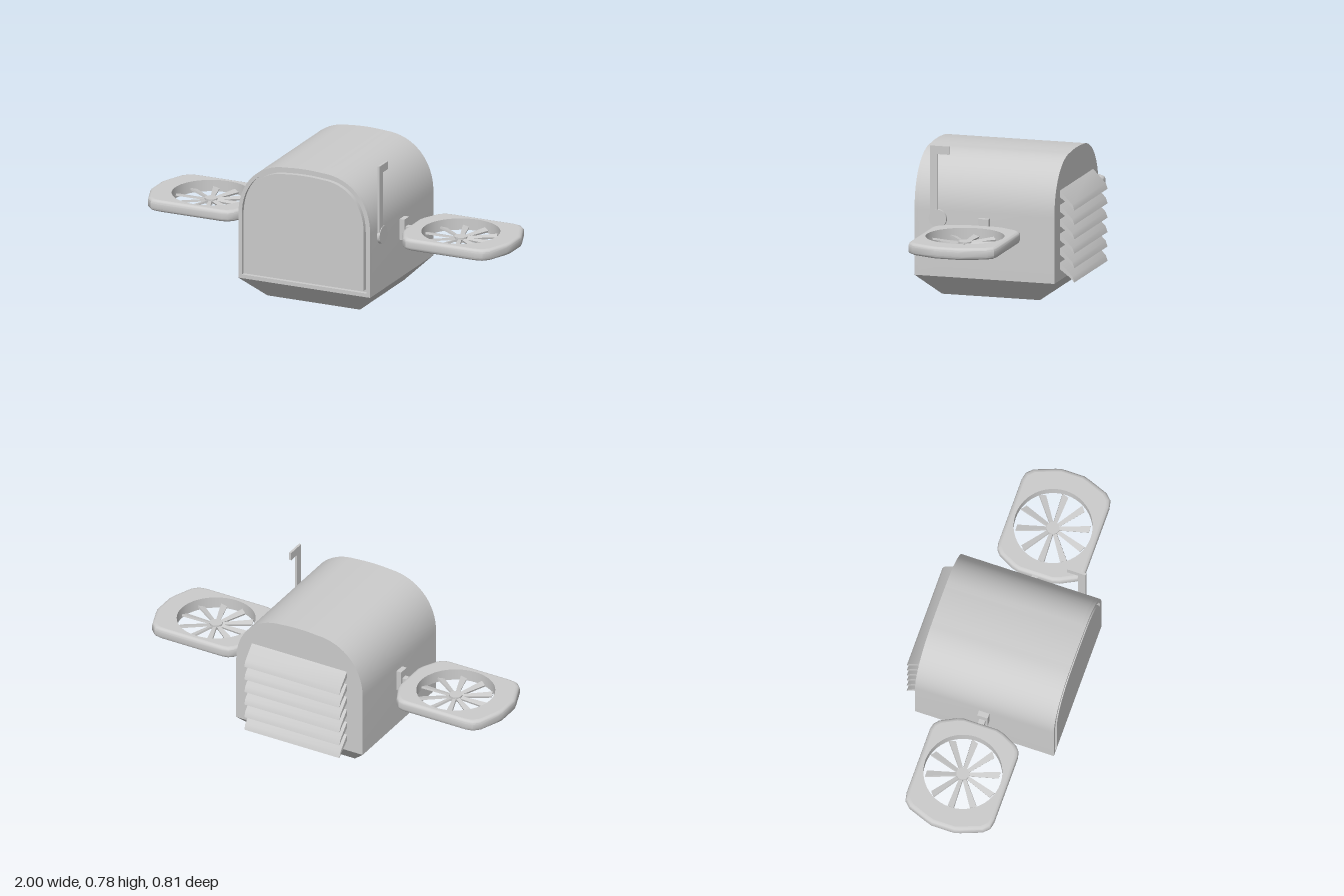
import * as THREE from 'three';
import { toCreasedNormals } from 'three/addons/utils/BufferGeometryUtils.js';

const material = new THREE.MeshStandardMaterial({ color: 0xcccccc });

function add(parent, name, geometry, x = 0, y = 0, z = 0) {
  const mesh = new THREE.Mesh(geometry, material);
  mesh.name = name;
  mesh.position.set(x, y, z);
  parent.add(mesh);
  return mesh;
}

function extrude(shape, depth) {
  const g = new THREE.ExtrudeGeometry(shape, { depth, bevelEnabled: false, curveSegments: 16 });
  return toCreasedNormals(g, 0.6);
}

function polygon(points) {
  return new THREE.Shape(points.map(([x, y]) => new THREE.Vector2(x, y)));
}

// Arched box outline, inset by d on every side
function arch(d, Type = THREE.Shape) {
  const w = 0.366 - d, b = 0.112 + d, t = 0.738 - d;
  const s = new Type();
  s.moveTo(-w, b);
  s.lineTo(w, b);
  s.lineTo(w, 0.45);
  s.bezierCurveTo(w, 0.61, 0.26 - d, t - 0.006, 0.1, t - 0.005);
  s.quadraticCurveTo(0.05, t, 0, t);
  s.quadraticCurveTo(-0.05, t, -0.1, t - 0.005);
  s.bezierCurveTo(-0.26 + d, t - 0.006, -w, 0.61, -w, 0.45);
  s.closePath();
  return s;
}

// Tapered base from two rectangular sections
function taperedBase() {
  const g = new THREE.BoxGeometry(0.732, 0.112, 0.735);
  const p = g.attributes.position;
  for (let i = 0; i < p.count; i++) {
    if (p.getY(i) < 0) {
      p.setX(i, Math.sign(p.getX(i)) * 0.257);
      p.setZ(i, Math.sign(p.getZ(i)) * 0.257);
    }
  }
  g.computeVertexNormals();
  return g;
}

// Rotor guard: outer wall lofted with rounded edges, capped by plates with a round hole
const HALF = 0.03, HOLE = 0.198;
function guardOutline() {
  const half = [[0.307, 0.06], [0.298, 0.09], [0.258, 0.195], [0.228, 0.225], [0.19, 0.2325],
    [-0.17, 0.2325], [-0.2, 0.226], [-0.225, 0.204], [-0.265, 0.125], [-0.275, 0.09]];
  return [...half, ...half.map(([x, y]) => [x, -y]).reverse()];
}

function addGuard(parent) {
  const outline = guardOutline();
  const n = outline.length;
  const layers = [];
  for (let k = 0; k <= 4; k++) {
    const a = (k / 4) * Math.PI / 2;
    layers.push([0.018 * (1 - Math.sin(a)), -HALF + 0.018 * (1 - Math.cos(a))]);
  }
  for (let k = 4; k >= 0; k--) layers.push([layers[k][0], -layers[k][1]]);
  const inset = ([x, y], d) => [x * (1 - d / 0.29), y * (1 - d / 0.2325)];

  const pos = [], index = [];
  layers.forEach(([d, z], j) => outline.forEach((pt, i) => {
    pos.push(...inset(pt, d), z);
    if (j === layers.length - 1) return;
    const a = j * n + i, b = j * n + (i + 1) % n;
    index.push(a, b, b + n, a, b + n, a + n);
  }));
  const wall = new THREE.BufferGeometry();
  wall.setAttribute('position', new THREE.Float32BufferAttribute(pos, 3));
  wall.setIndex(index);
  add(parent, 'guardRim', toCreasedNormals(wall, 0.5).rotateX(-Math.PI / 2));

  const plate = polygon(outline.map((pt) => inset(pt, 0.018)));
  plate.holes.push(new THREE.Path().absarc(0, 0, HOLE, 0, Math.PI * 2, true));
  for (const side of [1, -1]) {
    const cap = new THREE.ShapeGeometry(plate, 24).rotateX(-side * Math.PI / 2);
    add(parent, side > 0 ? 'guardTop' : 'guardBottom', cap, 0, side * HALF, 0);
  }
  // Inner duct wall, running upwards so that it faces the axis
  const duct = [new THREE.Vector2(HOLE, HALF), new THREE.Vector2(HOLE, -HALF)];
  add(parent, 'guardDuct', new THREE.LatheGeometry(duct, 48));
}

function createRotor() {
  const rotor = new THREE.Group();
  rotor.name = 'rotor';
  addGuard(rotor);
  add(rotor, 'hub', new THREE.CylinderGeometry(0.033, 0.033, 0.026, 32), 0, -0.008, 0);
  // Ten tapered, slightly pitched blades
  const blade = extrude(polygon([[0.022, -0.009], [0.18, -0.018], [0.189, 0.016], [0.022, 0.009]]), 0.01)
    .translate(0, 0, -0.005).rotateX(-Math.PI / 2 + 0.25);
  for (let i = 0; i < 10; i++) {
    add(rotor, 'blade', blade, 0, -0.008, 0).rotation.y = (i / 10) * Math.PI * 2;
  }
  return rotor;
}

export function createModel() {
  const model = new THREE.Group();
  model.name = 'flyingMailbox';

  // Body with a raised front rim, a groove and the door
  add(model, 'body', extrude(arch(0), 0.715), 0, 0, -0.331);
  const rim = arch(0);
  rim.holes.push(arch(0.02, THREE.Path));
  add(model, 'frontRim', extrude(rim, 0.02), 0, 0, 0.384);
  add(model, 'door', extrude(arch(0.034), 0.024), 0, 0, 0.384);
  add(model, 'base', taperedBase(), 0, 0.056, 0.0365);

  // Slanted louvers across the back
  const slat = extrude(polygon([[0.325, 0.578], [0.397, 0.503], [0.407, 0.474], [0.385, 0.497], [0.325, 0.542]]), 0.55)
    .translate(0, 0, -0.275).rotateY(Math.PI / 2);
  for (let i = 0; i < 6; i++) add(model, 'louver', slat, 0, -i * 0.0737, 0);

  // Signal flag on the left side
  const flag = new THREE.Group();
  flag.name = 'flag';
  const arm = polygon([[-0.32, 0.41], [-0.28, 0.41], [-0.28, 0.74], [-0.22, 0.74], [-0.22, 0.782], [-0.32, 0.782]]);
  add(flag, 'flagArm', extrude(arm, 0.012).rotateY(Math.PI / 2), 0.366, 0, 0);
  add(flag, 'flagPivot', new THREE.CylinderGeometry(0.046, 0.046, 0.016, 40).rotateZ(Math.PI / 2), 0.373, 0.41, 0.279);
  model.add(flag);

  // Rotor arms, one on each side
  for (const side of [1, -1]) {
    const wing = new THREE.Group();
    wing.name = side > 0 ? 'leftWing' : 'rightWing';
    wing.position.set(0, 0.37, 0.035);
    wing.rotation.y = side > 0 ? 0 : Math.PI;
    add(wing, 'bracket', new THREE.BoxGeometry(0.03, 0.11, 0.055), 0.378, 0, 0);
    add(wing, 'connector', new THREE.BoxGeometry(0.05, 0.036, 0.032), 0.407, -0.003, 0);
    const rotor = createRotor();
    rotor.position.set(0.693, 0, 0);
    wing.add(rotor);
    model.add(wing);
  }
  return model;
}
